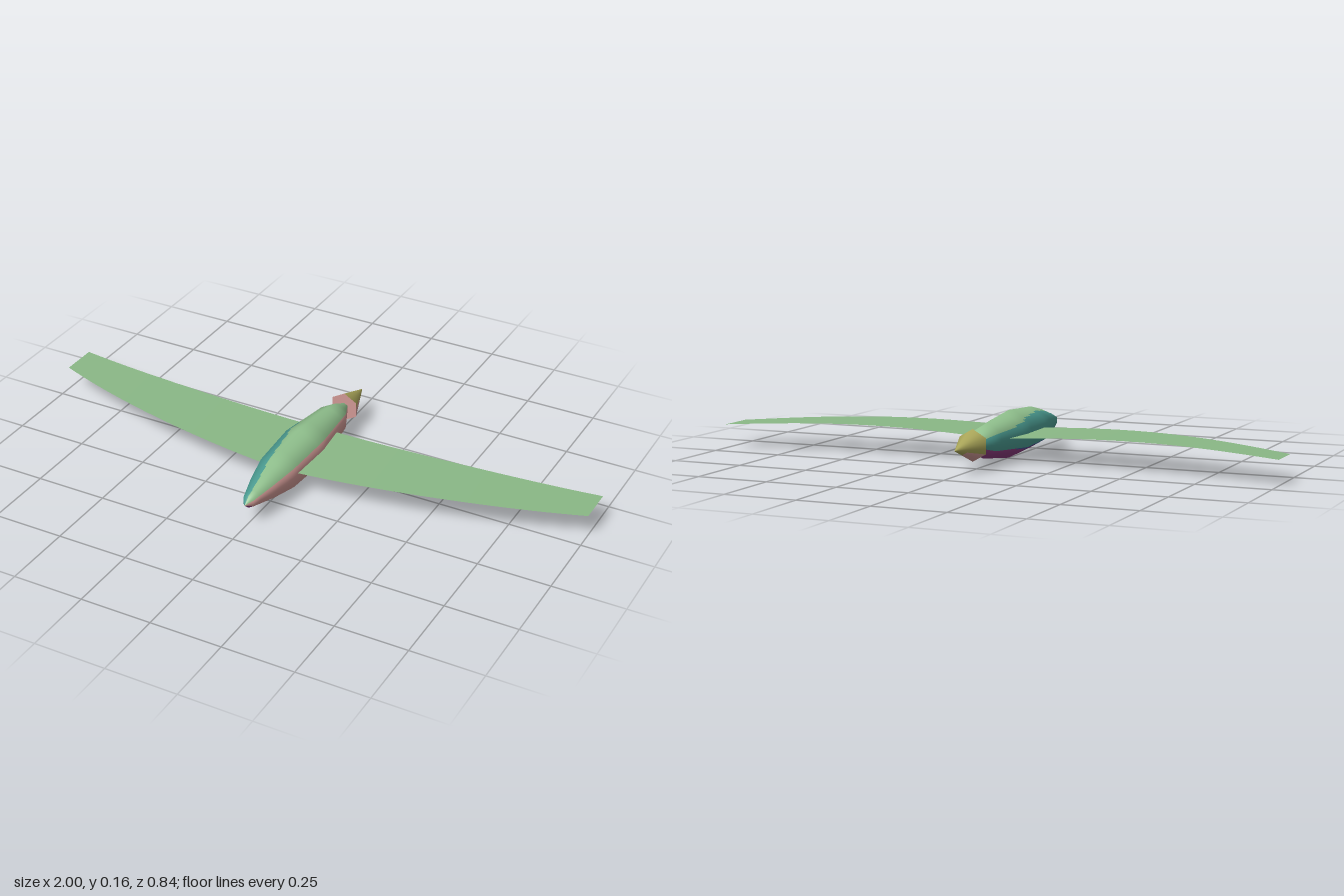
import * as THREE from 'three';

const mat = (name, color, side = THREE.FrontSide) => {
  const m = new THREE.MeshStandardMaterial({ color, side });
  m.name = name;
  return m;
};

const AXIS_Y = 0.082; // height of the body axis

// Six-sided hull along z, with a point of the hexagon on top and softened normals.
// colourAt(side, f, z) picks a material; sides run from +x counter-clockwise.
function hexHull(profile, rows, subs, materials, colourAt) {
  const zA = profile[0][0], zB = profile[profile.length - 1][0];
  const radius = (z) => {
    const t = THREE.MathUtils.clamp(z, zB, zA);
    const i = Math.max(1, profile.findIndex((p) => p[0] <= t));
    const [z0, r0] = profile[i - 1], [z1, r1] = profile[i];
    return THREE.MathUtils.lerp(r0, r1, (z0 - t) / (z0 - z1));
  };
  // Rows keep every profile station
  const zs = [zA];
  for (let i = 1; i < profile.length; i++) {
    for (let k = 1; k <= rows; k++) zs.push(THREE.MathUtils.lerp(profile[i - 1][0], profile[i][0], k / rows));
  }
  const cols = 6 * subs, pos = [], nor = [];
  for (const z of zs) {
    const r = radius(z);
    const hi = Math.min(zA, z + 0.03), lo = Math.max(zB, z - 0.03);
    const slope = (radius(hi) - radius(lo)) / (hi - lo);
    for (let j = 0; j <= cols; j++) {
      const side = Math.floor(j / subs), f = (j % subs) / subs;
      const a = (side * 60 - 30) * Math.PI / 180, b = a + Math.PI / 3;
      const x = THREE.MathUtils.lerp(Math.cos(a), Math.cos(b), f);
      const y = THREE.MathUtils.lerp(Math.sin(a), Math.sin(b), f);
      const n = new THREE.Vector3(x, y, -slope).normalize();
      pos.push(x * r, y * r + AXIS_Y, z);
      nor.push(n.x, n.y, n.z);
    }
  }
  const buckets = materials.map(() => []);
  for (let i = 0; i < zs.length - 1; i++) {
    for (let j = 0; j < cols; j++) {
      const f = ((j % subs) + 0.5) / subs;
      const m = colourAt(Math.floor(j / subs), f, (zs[i] + zs[i + 1]) / 2);
      const p = i * (cols + 1) + j, q = p + cols + 1;
      buckets[materials.indexOf(m)].push(p, q, p + 1, p + 1, q, q + 1);
    }
  }
  const geo = new THREE.BufferGeometry();
  geo.setAttribute('position', new THREE.Float32BufferAttribute(pos, 3));
  geo.setAttribute('normal', new THREE.Float32BufferAttribute(nor, 3));
  geo.setIndex(buckets.flat());
  let start = 0;
  buckets.forEach((b, m) => {
    if (b.length) geo.addGroup(start, b.length, m);
    start += b.length;
  });
  return new THREE.Mesh(geo, materials);
}

// Thin arched sheet spanning both sides, swept back towards the tips
function wingSheet(material) {
  const n = 48, pos = [], index = [];
  for (let i = 0; i <= n; i++) {
    const x = -1 + (2 * i) / n, s = Math.abs(x);
    const y = AXIS_Y + 0.001 + 0.017 * Math.sin(Math.PI * s);
    const lead = 0.176 - 0.226 * s * s;
    const trail = -0.118 + 0.095 * s - 0.157 * s * s;
    pos.push(x, y, lead, x, y, trail);
    if (i < n) {
      const p = 2 * i;
      index.push(p, p + 2, p + 1, p + 1, p + 2, p + 3);
    }
  }
  const geo = new THREE.BufferGeometry();
  geo.setAttribute('position', new THREE.Float32BufferAttribute(pos, 3));
  geo.setIndex(index);
  geo.computeVertexNormals();
  return new THREE.Mesh(geo, material);
}

export function createModel() {
  const group = new THREE.Group();
  const green = mat('leafGreen', 0x8fbf8c);
  const pink = mat('dustyPink', 0xcf9894);
  const purple = mat('plumPurple', 0x8f3c82);
  const teal = mat('teal', 0x4a9a90);
  const blue = mat('slateBlue', 0x41579a);
  const olive = mat('olive', 0xa8a458);
  const wingGreen = mat('wingGreen', 0x8ab886, THREE.DoubleSide);

  // Spindle body, nose towards +z
  const bodyProfile = [
    [0.42, 0], [0.395, 0.022], [0.3, 0.05], [0.2, 0.072],
    [0.01, 0.082], [-0.2, 0.055], [-0.31, 0.001],
  ];
  const body = hexHull(bodyProfile, 6, 8, [green, pink, purple, teal, blue], (side, f, z) => {
    const reach = (z + 0.1) / 0.5; // how far the side colour climbs towards the nose
    if (side === 0) return pink;
    if (side === 1) return green;
    if (side === 2) return 1 - f < reach ? teal : green;
    if (side === 3) return teal;
    if (side === 4) return f < reach ? blue : purple;
    return z < -0.23 ? pink : purple;
  });
  body.name = 'body';
  group.add(body);

  // Pointed tail cone
  const tail = hexHull([[-0.28, 0.054], [-0.42, 0]], 10, 6, [olive, pink], (side, f, z) => {
    if (side === 0) return f < 0.6 && z > -0.35 ? pink : olive;
    return side >= 4 && z > -0.36 ? pink : olive;
  });
  tail.name = 'tailCone';
  group.add(tail);

  // Front face of the tail cone
  const cap = new THREE.Mesh(new THREE.CircleGeometry(0.054, 6, Math.PI / 6), pink);
  cap.position.set(0, AXIS_Y, -0.28);
  cap.name = 'tailConeBase';
  group.add(cap);

  const wing = wingSheet(wingGreen);
  wing.name = 'wing';
  group.add(wing);
  return group;
}
